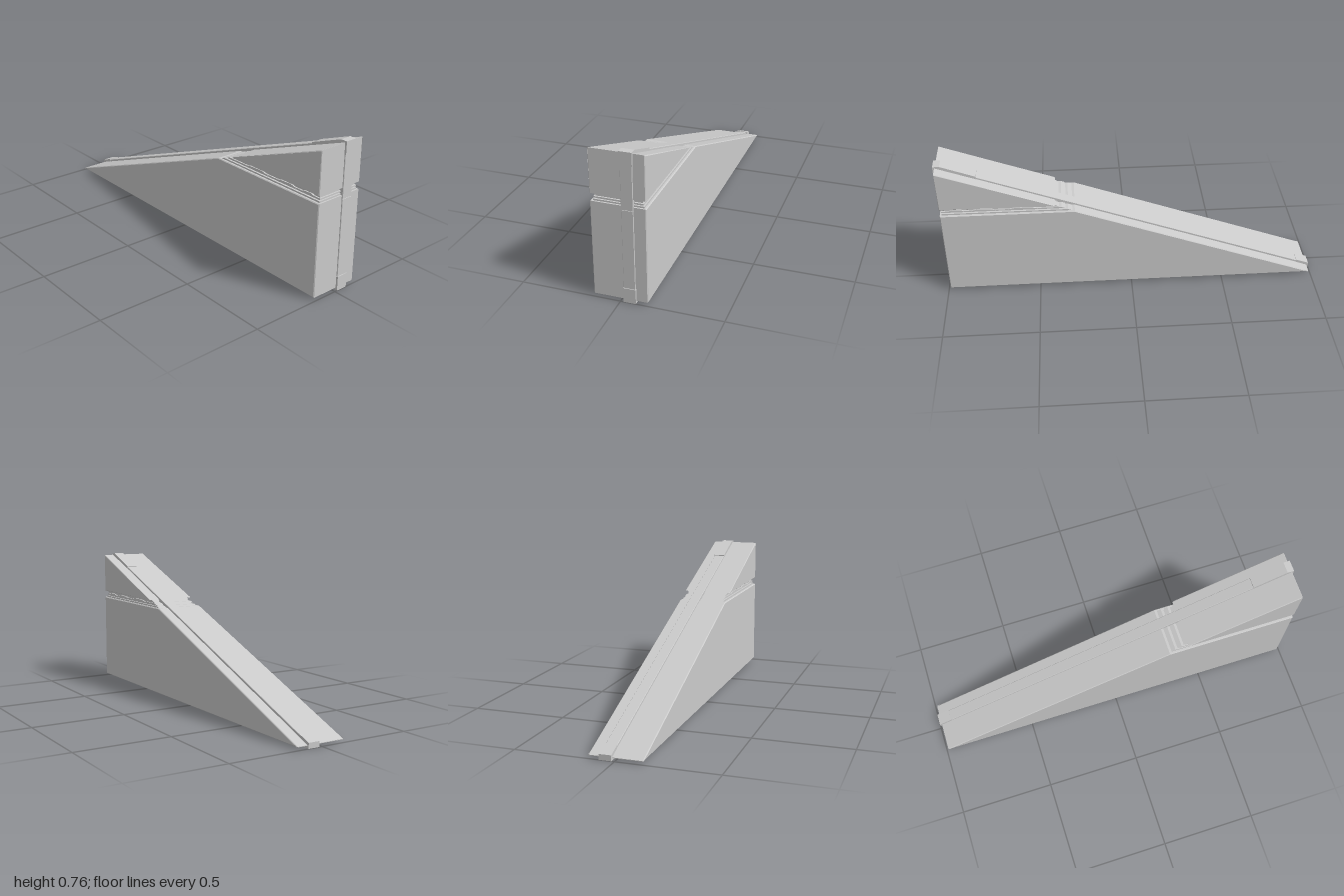
import * as THREE from 'three';

const grey = new THREE.MeshStandardMaterial({ color: 0xcccccc, flatShading: true, side: THREE.DoubleSide });

// Height of the sloping edge above x, and its inverse
const slopeY = (x) => 0.015 + 0.375 * (x + 0.99);
const slopeX = (y) => (y - 0.015) / 0.375 - 0.99;

// Extrude an outline in x/y between two z values, with an inset bevel
function slab(name, points, z0, z1, bevel = 0) {
  const shape = new THREE.Shape(points.map(([x, y]) => new THREE.Vector2(x, y)));
  const geometry = new THREE.ExtrudeGeometry(shape, {
    depth: z1 - z0 - 2 * bevel,
    bevelEnabled: bevel > 0,
    bevelThickness: bevel,
    bevelSize: bevel,
    bevelOffset: -bevel,
    bevelSegments: 1,
  });
  geometry.translate(0, 0, z0 + bevel);
  const mesh = new THREE.Mesh(geometry, grey);
  mesh.name = name;
  return mesh;
}

// Horizontal slice of the wedge, drawn back from the slope and the end by an inset
function slice(y0, y1, inset = 0) {
  const right = 0.99 - inset;
  const shift = inset * 1.6;
  return [[slopeX(y0) + shift, y0], [right, y0], [right, y1], [slopeX(y1) + shift, y1]];
}

export function createModel() {
  const model = new THREE.Group();
  model.name = 'wedgeWall';

  // Main blocks either side of the groove
  model.add(slab('lowerBlock',
    [[-0.99, 0.012], [0.99, 0.012], [0.99, 0.497], [slopeX(0.497), 0.497], [-0.99, slopeY(-0.99)]],
    -0.133, 0.135, 0.004));
  model.add(slab('upperBlock',
    [[slopeX(0.535), 0.535], [0.99, 0.535], [0.99, 0.757], [0.988, slopeY(0.988)]],
    -0.133, 0.135, 0.004));

  // Recessed core and stepped ledges inside the groove
  model.add(slab('grooveCore', slice(0.48, 0.55, 0.016), -0.112, 0.112));
  model.add(slab('grooveLowerLedge', slice(0.49, 0.505, 0.008), -0.122, 0.122));
  model.add(slab('grooveMiddleLedge', slice(0.511, 0.518, 0.008), -0.119, 0.119));
  model.add(slab('grooveUpperLedge', slice(0.526, 0.54, 0.01), -0.116, 0.116));

  // Worn chips along the groove, on both faces
  [[0.48, 0.16], [0.70, 0.13], [0.86, 0.09]].forEach(([x, width]) => {
    const outline = [[x, 0.514], [x + width, 0.514], [x + width * 0.75, 0.525], [x + width * 0.2, 0.522]];
    model.add(slab('grooveChipFront', outline, 0.1, 0.12));
    model.add(slab('grooveChipBack', outline, -0.12, -0.1));
  });

  // Raised band running round the wedge, with a seam on the upright end
  model.add(slab('band', [
    [-0.994, 0.004], [0.996, 0.004], [0.996, 0.478], [0.994, 0.479], [0.994, 0.481], [0.996, 0.482],
    [0.996, 0.762], [0.975, 0.762], [-0.994, 0.026],
  ], -0.074, -0.016, 0.002));

  // Thicker clamps at the three corners of the band
  const clamps = [
    ['tipClamp', [[-1, 0], [-0.93, 0], [-0.93, 0.053], [-0.975, 0.037], [-1, 0.028]]],
    ['baseClamp', [[0.93, 0], [1, 0], [1, 0.075], [0.93, 0.075]]],
    ['topClamp', [[0.79, 0.65], [1, 0.70], [1, 0.765], [0.965, 0.765], [0.79, 0.698]]],
  ];
  for (const [name, outline] of clamps) model.add(slab(name, outline, -0.076, -0.015));

  return model;
}
